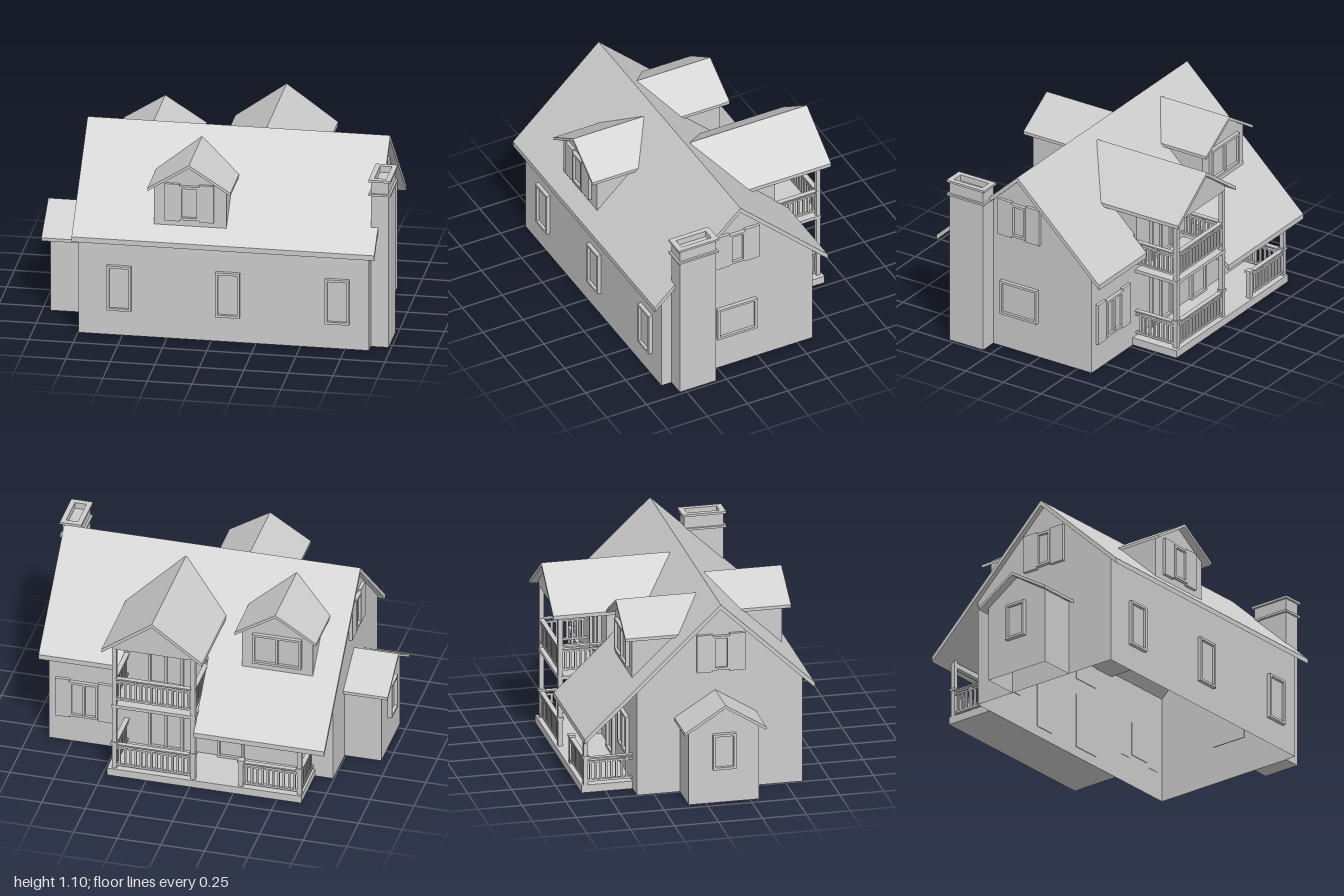
import * as THREE from 'three';

const solid = new THREE.MeshStandardMaterial({ color: 0xcccccc, flatShading: true });
const thin = new THREE.MeshStandardMaterial({ color: 0xcccccc, flatShading: true, side: THREE.DoubleSide });

function add(parent, name, geo, mat = solid) {
  const m = new THREE.Mesh(geo, mat);
  m.name = name;
  parent.add(m);
  return m;
}

// box given by its extents
function box(parent, name, x0, x1, y0, y1, z0, z1) {
  const m = add(parent, name, new THREE.BoxGeometry(x1 - x0, y1 - y0, z1 - z0));
  m.position.set((x0 + x1) / 2, (y0 + y1) / 2, (z0 + z1) / 2);
  return m;
}

const outline = pts => new THREE.Shape(pts.map(p => new THREE.Vector2(...p)));

// [x, y] profile extruded along z
function prismZ(parent, name, pts, z0, z1) {
  const g = new THREE.ExtrudeGeometry(outline(pts), { depth: z1 - z0, bevelEnabled: false });
  return add(parent, name, g.translate(0, 0, z0));
}

// [z, y] profile extruded along x
function prismX(parent, name, pts, x0, x1) {
  const g = new THREE.ExtrudeGeometry(outline(pts.map(([z, y]) => [-z, y])), { depth: x1 - x0, bevelEnabled: false });
  return add(parent, name, g.rotateY(Math.PI / 2).translate(x0, 0, 0));
}

// inverted V profile of a gable roof
const chevron = (c, half, eave, ridge, t) => [
  [c - half, eave - t], [c, ridge - t], [c + half, eave - t],
  [c + half, eave], [c, ridge], [c - half, eave]];

// flat convex wall panel
function panel(parent, name, pts) {
  const g = new THREE.BufferGeometry().setFromPoints(pts.map(p => new THREE.Vector3(...p)));
  const index = [];
  for (let i = 1; i < pts.length - 1; i++) index.push(0, i, i + 1);
  g.setIndex(index);
  g.computeVertexNormals();
  return add(parent, name, g, thin);
}

// four walls with gable ends on x, open below
function shell(parent, name, x0, x1, z0, z1, eave, ridgeZ, ridgeY) {
  panel(parent, name + 'FrontWall', [[x0, 0, z1], [x1, 0, z1], [x1, eave, z1], [x0, eave, z1]]);
  panel(parent, name + 'BackWall', [[x1, 0, z0], [x0, 0, z0], [x0, eave, z0], [x1, eave, z0]]);
  const end = x => [[x, 0, z1], [x, 0, z0], [x, eave, z0], [x, ridgeY, ridgeZ], [x, eave, z1]];
  panel(parent, name + 'RightGable', end(x1));
  panel(parent, name + 'LeftGable', end(x0).reverse());
}

// window facing +z with frame, glass, mullions and optional shutters
function windowUnit(parent, name, pos, w, h, { turn = 0, shutter = 0, bars = 0, depth = 0.022 } = {}) {
  const g = new THREE.Group();
  g.name = name;
  const f = 0.014, a = w / 2, b = h / 2;
  const s = outline([[-a, -b], [a, -b], [a, b], [-a, b]]);
  s.holes.push(outline([[-a + f, -b + f], [-a + f, b - f], [a - f, b - f], [a - f, -b + f]]));
  add(g, 'frame', new THREE.ExtrudeGeometry(s, { depth, bevelEnabled: false }));
  box(g, 'glass', -a + f, a - f, -b + f, b - f, -0.004, 0.006);
  for (let i = 1; i <= bars; i++) {
    const x = -a + w * i / (bars + 1);
    box(g, 'mullion', x - 0.007, x + 0.007, -b + f, b - f, 0, depth - 0.003);
  }
  if (shutter) for (const d of [-1, 1]) {
    const x = d * (a + shutter / 2);
    box(g, 'shutter', x - shutter / 2, x + shutter / 2, -b - 0.01, b + 0.01, -0.002, depth - 0.004);
  }
  g.position.set(...pos);
  g.rotation.y = turn;
  parent.add(g);
}

// balustrade between two points, standing on floor height y
function railing(parent, name, x0, z0, x1, z1, y) {
  const g = new THREE.Group(), len = Math.hypot(x1 - x0, z1 - z0), h = len / 2;
  g.name = name;
  box(g, 'handrail', -h, h, 0.15, 0.158, -0.014, 0.014);
  box(g, 'upperRail', -h, h, 0.126, 0.136, -0.008, 0.008);
  box(g, 'lowerRail', -h, h, 0.015, 0.027, -0.008, 0.008);
  const n = Math.round(len / 0.03);
  for (let i = 1; i < n; i++) {
    const x = -h + len * i / n;
    box(g, 'baluster', x - 0.006, x + 0.006, 0.025, i % 4 ? 0.13 : 0.152, -0.006, 0.006);
  }
  g.position.set((x0 + x1) / 2, y, (z0 + z1) / 2);
  g.rotation.y = Math.atan2(-(z1 - z0), x1 - x0);
  parent.add(g);
}

function post(parent, x, z, y0, y1) {
  box(parent, 'post', x - 0.013, x + 0.013, y0, y1, z - 0.013, z + 0.013);
}

// gabled dormer: face at zFace, running back to zIn
function dormer(parent, name, c, zFace, zIn, zRoof) {
  const g = new THREE.Group();
  g.name = name;
  const w = 0.203;
  prismZ(g, 'dormerWalls', [[c - w, 0.645], [c + w, 0.645], [c + w, 0.9], [c, 1.03], [c - w, 0.9]],
    Math.min(zFace, zIn), Math.max(zFace, zIn));
  prismZ(g, 'dormerRoof', chevron(c, 0.233, 0.898, 1.047, 0.018), Math.min(zRoof, zIn), Math.max(zRoof, zIn));
  parent.add(g);
}

export function createModel() {
  const house = new THREE.Group();
  house.name = 'house';
  const H = Math.PI / 2;

  // main body
  shell(house, 'main', -0.745, 0.885, -0.345, 0.598, 0.63, 0.125, 1.08);

  // main roof: one front slope, back slope in three lengths
  const roofY = z => 1.1 - Math.abs(z - 0.125) * 0.948;
  const slope = (name, z, x0, x1) => prismX(house, name,
    [[0.125, 1.1], [z, roofY(z)], [z, roofY(z) - 0.03], [0.125, 1.07]], x0, x1);
  slope('frontRoof', 0.66, -0.775, 0.925);
  slope('porchRoof', -0.648, -0.775, -0.025);
  slope('middleBackRoof', -0.33, -0.025, 0.45);
  slope('backRoof', -0.42, 0.45, 0.925);

  // chimney with hollow top and two bands
  box(house, 'chimneyStack', 0.885, 0.985, 0, 0.96, 0.31, 0.535);
  const ring = (name, m, y0, y1) => {
    const s = outline([[0.885 - m, -0.535 - m], [0.985 + m, -0.535 - m], [0.985 + m, -0.31 + m], [0.885 - m, -0.31 + m]]);
    s.holes.push(outline([[0.902, -0.515], [0.902, -0.33], [0.968, -0.33], [0.968, -0.515]]));
    add(house, name, new THREE.ExtrudeGeometry(s, { depth: y1 - y0, bevelEnabled: false }).rotateX(-H).translate(0, y0, 0));
  };
  ring('chimneyRim', 0, 0.95, 0.985);
  ring('chimneyCap', 0.012, 0.984, 0.997);
  ring('chimneyBand', 0.012, 0.902, 0.914);

  // side annex
  shell(house, 'annex', -0.955, -0.745, -0.1, 0.3, 0.44, 0.1, 0.57);
  prismX(house, 'annexRoof', chevron(0.1, 0.232, 0.442, 0.588, 0.018), -1, -0.745);
  windowUnit(house, 'annexWindow', [-0.955, 0.305, 0.1], 0.13, 0.21, { turn: -H, depth: 0.025 });

  // front and side windows
  for (const x of [-0.517, 0.093, 0.708])
    windowUnit(house, 'frontWindow', [x, 0.283, 0.598], 0.136, 0.266);
  windowUnit(house, 'sideWindow', [0.885, 0.312, 0.132], 0.245, 0.206, { turn: H });
  windowUnit(house, 'rightUpperWindow', [0.885, 0.81, 0.132], 0.096, 0.2, { turn: H, shutter: 0.09 });
  windowUnit(house, 'leftUpperWindow', [-0.745, 0.81, 0.132], 0.096, 0.2, { turn: -H, shutter: 0.09 });

  // dormers
  dormer(house, 'frontDormer', -0.122, 0.58, 0.185, 0.625);
  windowUnit(house, 'frontDormerWindow', [-0.125, 0.81, 0.58], 0.11, 0.2, { shutter: 0.082 });
  dormer(house, 'backDormer', -0.425, -0.345, 0.065, -0.39);
  windowUnit(house, 'backDormerWindow', [-0.425, 0.79, -0.345], 0.28, 0.19, { turn: Math.PI, bars: 1 });

  // back wall windows and doors
  windowUnit(house, 'backWindow', [0.682, 0.285, -0.345], 0.165, 0.225, { turn: Math.PI, shutter: 0.08, bars: 1 });
  windowUnit(house, 'porchDoor', [0.21, 0.22, -0.345], 0.2, 0.35, { turn: Math.PI, bars: 1 });
  windowUnit(house, 'entryDoor', [-0.16, 0.22, -0.345], 0.15, 0.35, { turn: Math.PI });
  windowUnit(house, 'porchWindow', [-0.46, 0.285, -0.345], 0.2, 0.22, { turn: Math.PI, bars: 1 });
  windowUnit(house, 'balconyDoor', [0.21, 0.637, -0.345], 0.2, 0.35, { turn: Math.PI, bars: 1 });

  // porch
  const xa = 0.437, xb = -0.015, xc = -0.625, zp = -0.61, zw = -0.345;
  box(house, 'porchDeck', -0.64, 0.475, 0, 0.045, -0.635, zw);
  post(house, xa, zp, 0.045, 0.83);
  post(house, xb, zp, 0.045, 0.83);
  post(house, xc, zp, 0.045, 0.385);
  post(house, -0.29, zp, 0.045, 0.205);
  for (const x of [xa, xb, xc, -0.29])
    box(house, 'postCap', x - 0.019, x + 0.019, 0.2, 0.215, zp - 0.019, zp + 0.019);
  box(house, 'porchBeam', xc - 0.013, xb, 0.345, 0.375, zp - 0.012, zp + 0.012);
  railing(house, 'porchRailing', xa, zp, xb, zp, 0.045);
  railing(house, 'porchRailing', xa, zp, xa, zw, 0.045);
  railing(house, 'porchRailing', -0.29, zp, xc, zp, 0.045);
  railing(house, 'porchRailing', xc, zp, xc, zw, 0.045);

  // balcony with its own gable
  box(house, 'balconyFloor', -0.03, 0.452, 0.44, 0.46, -0.625, zw);
  railing(house, 'balconyRailing', xa, zp, xb, zp, 0.475);
  for (const x of [xa, xb]) railing(house, 'balconyRailing', x, zp, x, zw, 0.475);
  box(house, 'balconyBackWall', xb, xa, 0.6, 0.83, zw, -0.1);
  prismZ(house, 'balconyGable',
    [[-0.025, 0.825], [0.445, 0.825], [0.445, 0.856], [0.21, 1.035], [-0.025, 0.856]], -0.622, 0);
  prismZ(house, 'balconyRoof', chevron(0.21, 0.289, 0.84, 1.05, 0.022), -0.663, 0.065);

  return house;
}
